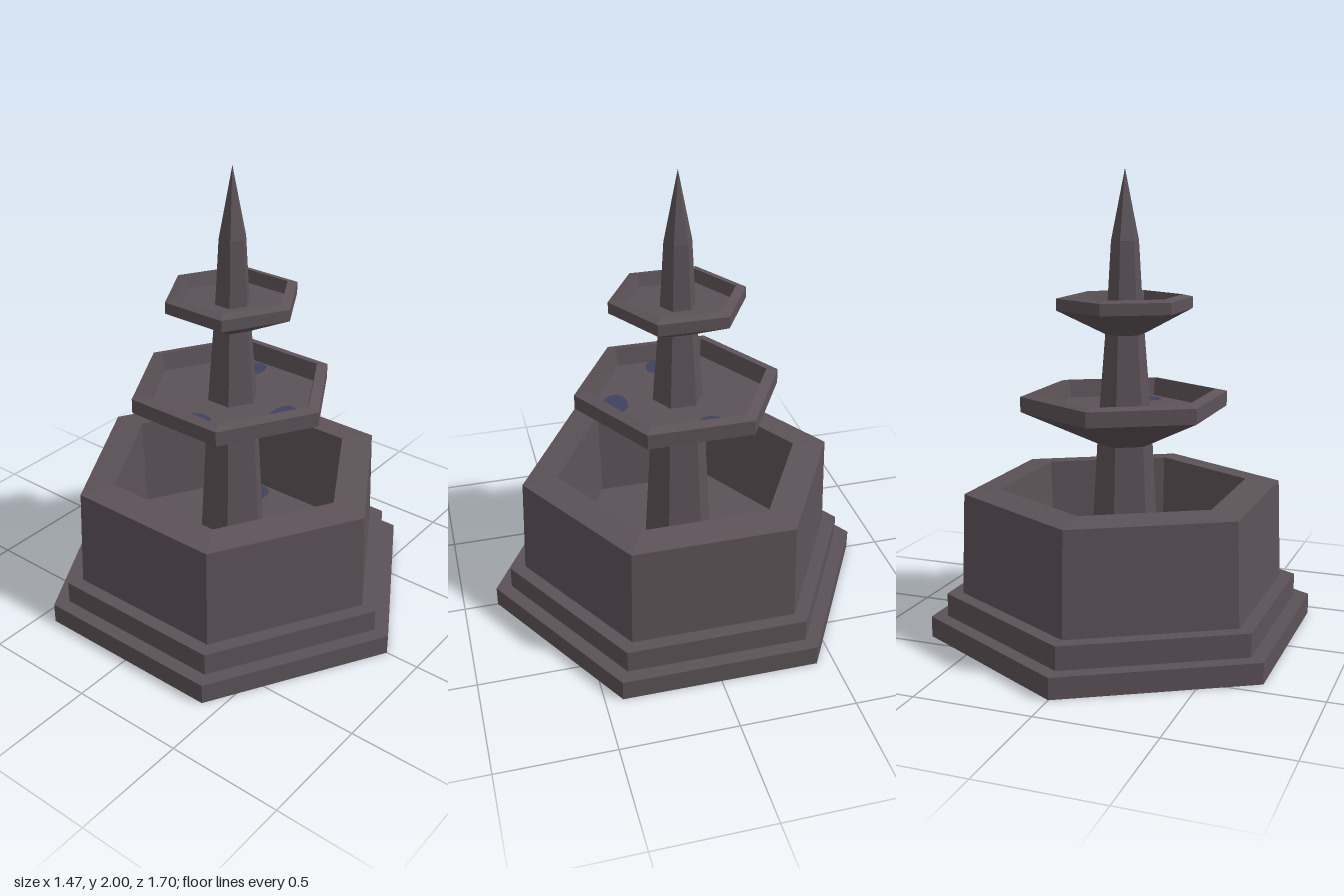
import * as THREE from 'three';

export function createModel() {
  const stone = new THREE.MeshStandardMaterial({ color: 0x5c5257, flatShading: true });
  stone.name = 'stone';
  const water = new THREE.MeshStandardMaterial({ color: 0x40415f, flatShading: true });
  water.name = 'water';

  const fountain = new THREE.Group();
  fountain.name = 'fountain';

  // Six-sided solid turned from [radius, height] points, corners on the z axis
  function hex(name, profile) {
    const points = profile.map(([r, y]) => new THREE.Vector2(r, y));
    const mesh = new THREE.Mesh(new THREE.LatheGeometry(points, 6), stone);
    mesh.name = name;
    fountain.add(mesh);
  }

  // Thin irregular puddle lying on a floor
  function puddle(name, x, y, z, rx, rz) {
    const geo = new THREE.CircleGeometry(1, 14);
    const p = geo.attributes.position;
    for (let i = 1; i < p.count; i++) {
      const a = Math.atan2(p.getY(i), p.getX(i));
      const k = 1 + 0.06 * Math.sin(3 * a + x * 9);
      p.setXY(i, p.getX(i) * k * rx, p.getY(i) * k * rz);
    }
    geo.rotateX(-Math.PI / 2);
    const mesh = new THREE.Mesh(geo, water);
    mesh.name = name;
    mesh.position.set(x, y + 0.004, z);
    fountain.add(mesh);
  }

  const basinFloor = 0.23, bowlFloor = 0.975, topFloor = 1.415;

  // Stepped plinth
  hex('lowerStep', [[0, 0], [0.85, 0], [0.85, 0.09], [0, 0.09]]);
  hex('upperStep', [[0, 0.09], [0.78, 0.09], [0.78, 0.19], [0, 0.19]]);

  // Basin with sloping rim and hollow inside
  hex('basin', [[0.712, 0.19], [0.697, 0.63], [0.543, 0.645], [0.525, basinFloor], [0, basinFloor]]);

  // Columns and spire
  hex('lowerColumn', [[0.155, basinFloor], [0.121, 0.84]]);
  hex('upperColumn', [[0.112, bowlFloor], [0.085, 1.31]]);
  hex('spire', [[0.077, topFloor], [0.06, 1.7], [0, 2]]);

  // Two tiered bowls
  hex('largeBowl', [[0, 0.83], [0.12, 0.83], [0.452, 0.98], [0.452, 1.045],
    [0.4, 1.055], [0.385, bowlFloor], [0, bowlFloor]]);
  hex('smallBowl', [[0, 1.305], [0.085, 1.305], [0.295, 1.41], [0.295, 1.46],
    [0.25, 1.47], [0.235, topFloor], [0, topFloor]]);

  // Remaining water
  puddle('basinPuddleFront', 0, basinFloor, 0.42, 0.1, 0.085);
  puddle('basinPuddleSide', 0.365, basinFloor, -0.17, 0.08, 0.085);
  puddle('bowlPuddleRight', -0.27, bowlFloor, 0.02, 0.058, 0.062);
  puddle('bowlPuddleFront', 0, bowlFloor, 0.275, 0.075, 0.055);
  puddle('bowlPuddleLeft', 0.26, bowlFloor, -0.085, 0.06, 0.058);
  puddle('topPuddle', 0.155, topFloor, -0.09, 0.042, 0.05);

  return fountain;
}
